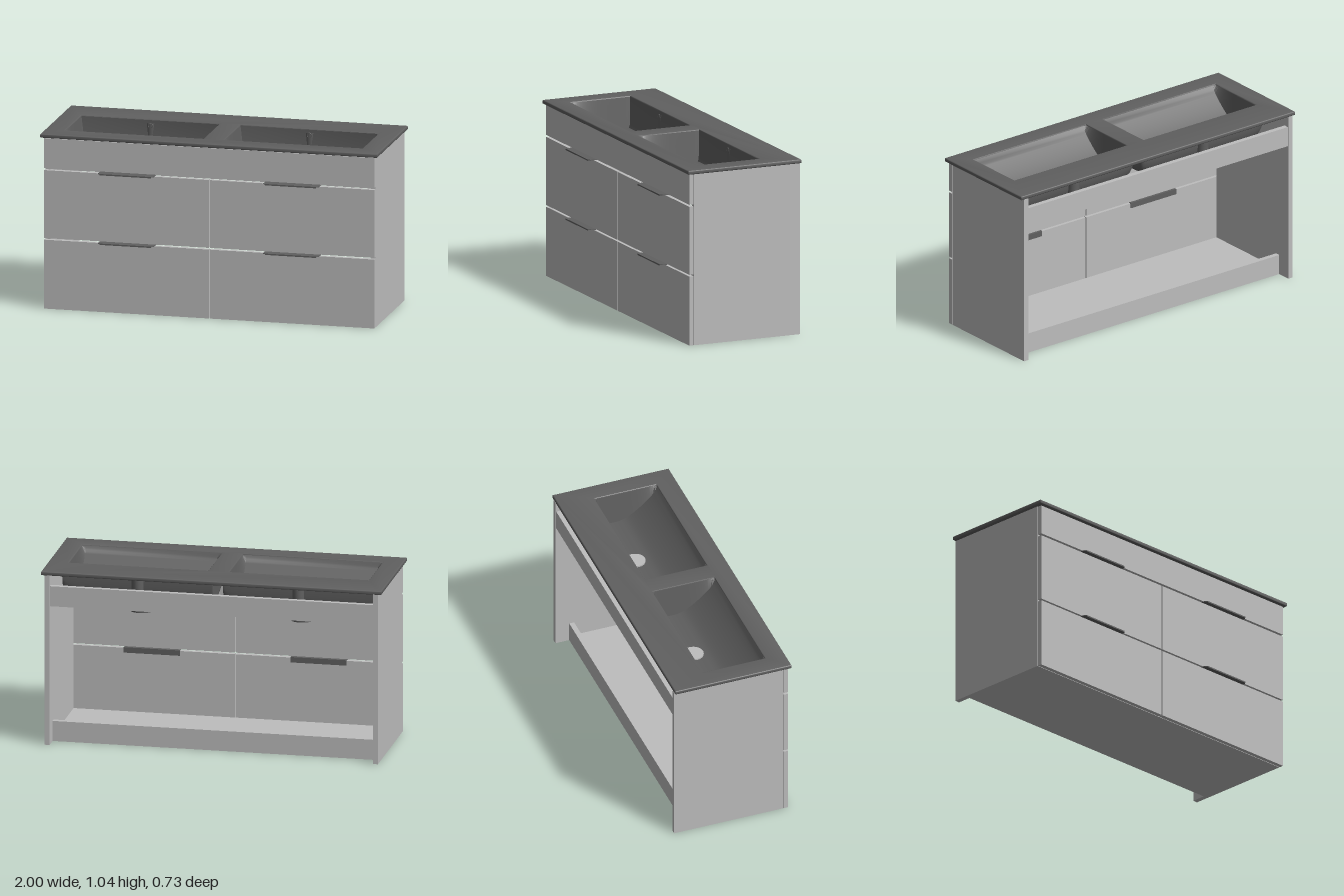
import * as THREE from 'three';
import { toCreasedNormals } from 'three/addons/utils/BufferGeometryUtils.js';

const cabinetMat = new THREE.MeshStandardMaterial({ name: 'light grey', color: 0xbebebe });
const basinMat = new THREE.MeshStandardMaterial({ name: 'dark grey', color: 0x606060 });
const holeMat = new THREE.MeshStandardMaterial({ name: 'charcoal', color: 0x303030 });

const BASIN_X = 0.472;

function add(parent, name, geometry, material, x = 0, y = 0, z = 0) {
  const mesh = new THREE.Mesh(geometry, material);
  mesh.name = name;
  mesh.position.set(x, y, z);
  parent.add(mesh);
  return mesh;
}

// Box given by its limits on each axis
function box(parent, name, material, [x0, x1], [y0, y1], [z0, z1]) {
  return add(parent, name, new THREE.BoxGeometry(x1 - x0, y1 - y0, z1 - z0), material,
    (x0 + x1) / 2, (y0 + y1) / 2, (z0 + z1) / 2);
}

// Trough swept along x: stations are [x, depth factor], profile is [z, y] from front to back
function trough(stations, profile, top, inside) {
  const pos = [], index = [], n = profile.length;
  for (const [x, f] of stations)
    for (const [z, y] of profile) pos.push(x, top - (top - y) * f, z);
  for (let i = 0; i < stations.length - 1; i++)
    for (let j = 0; j < n - 1; j++) {
      const a = i * n + j, b = a + n, c = a + 1, d = b + 1;
      if (inside) index.push(a, b, c, b, d, c);
      else index.push(a, c, b, b, c, d);
    }
  const g = new THREE.BufferGeometry();
  g.setAttribute('position', new THREE.Float32BufferAttribute(pos, 3));
  g.setIndex(index);
  g.computeVertexNormals();
  return g;
}

function smoothProfile(points, count) {
  const curve = new THREE.CatmullRomCurve3(points.map(([z, y]) => new THREE.Vector3(z, y, 0)));
  return curve.getPoints(count).map(p => [p.x, p.y]);
}

function rectangle(path, x0, x1, y0, y1) {
  path.moveTo(x0, y0);
  path.lineTo(x1, y0);
  path.lineTo(x1, y1);
  path.lineTo(x0, y1);
  path.closePath();
  return path;
}

// Slab with softened edges and two basin openings
function counterGeometry() {
  const b = 0.006;
  const shape = rectangle(new THREE.Shape(), -1 + b, 1 - b, -0.35 + b, 0.365 - b);
  for (const s of [-1, 1]) {
    const c = s * BASIN_X, h = 0.41 + b;
    shape.holes.push(rectangle(new THREE.Path(), c - h, c + h, -0.23 - b, 0.15 + b));
  }
  const g = new THREE.ExtrudeGeometry(shape, {
    depth: 0.012, bevelEnabled: true, bevelSize: b, bevelThickness: b, bevelSegments: 3
  });
  g.rotateX(-Math.PI / 2);
  g.translate(0, 1.013 + b, 0);
  return toCreasedNormals(g, 0.6);
}

function makeBasin(x) {
  const basin = new THREE.Group();
  basin.name = 'basin';
  basin.position.x = x;

  // Scooped bowl: gentle slope in front, steep wall at the back
  const slope = smoothProfile([[0.23, 1.031], [0.2, 0.99], [0.12, 0.917], [0.04, 0.865], [-0.01, 0.85]], 16);
  const inner = [...slope, [-0.12, 0.85], [-0.132, 0.855], [-0.138, 0.87], [-0.15, 1.031]];
  const ends = [[-0.41, 0], [-0.388, 1], [0.388, 1], [0.41, 0]];
  add(basin, 'bowl', toCreasedNormals(trough(ends, inner, 1.031, true), 0.5), basinMat);

  // Rounded underside
  const outer = smoothProfile([[0.262, 1.014], [0.235, 0.965], [0.15, 0.88], [0.05, 0.822],
    [-0.06, 0.802], [-0.14, 0.818], [-0.172, 0.88], [-0.18, 1.014]], 32);
  const stations = [];
  for (let i = -16; i <= 16; i++) {
    const s = Math.sin(i / 16 * Math.PI / 2);
    stations.push([s * 0.445, Math.pow(Math.max(0, 1 - Math.pow(s, 8)), 1 / 8)]);
  }
  add(basin, 'bowlUnderside', trough(stations, outer, 1.014, false), basinMat);

  // Drain cover, outlet collar and overflow
  add(basin, 'drainCover', new THREE.CylinderGeometry(0.06, 0.06, 0.008, 32), cabinetMat, 0, 0.854, -0.055);
  const ring = [[0.035, 0.815], [0.035, 0.75], [0.07, 0.75], [0.07, 0.79], [0.05, 0.795], [0.05, 0.815]];
  const collar = new THREE.LatheGeometry(ring.map(p => new THREE.Vector2(...p)), 32);
  add(basin, 'outletCollar', toCreasedNormals(collar, 0.6), basinMat, 0, 0, -0.055);
  const channel = new THREE.CatmullRomCurve3([[1.013, -0.175], [0.9, -0.175], [0.82, -0.165], [0.79, -0.09]]
    .map(([y, z]) => new THREE.Vector3(0, y, z)));
  add(basin, 'overflowChannel', new THREE.TubeGeometry(channel, 16, 0.035, 16), basinMat);
  const hole = add(basin, 'overflowHole', new THREE.CylinderGeometry(0.012, 0.012, 0.006, 20), holeMat, 0, 1.0, -0.146);
  hole.rotation.x = Math.PI / 2;
  add(basin, 'overflowRim', new THREE.TorusGeometry(0.013, 0.003, 8, 24), basinMat, 0, 1.0, -0.144);
  return basin;
}

// Edge pull: tapered plate over the drawer with a fixing lip behind
function makeHandle(x, y) {
  const handle = new THREE.Group();
  handle.name = 'handle';
  handle.position.set(x, y, 0);
  const plate = new THREE.Shape();
  plate.moveTo(-0.165, -0.303);
  plate.lineTo(-0.165, -0.355);
  plate.lineTo(-0.152, -0.369);
  plate.lineTo(0.152, -0.369);
  plate.lineTo(0.165, -0.355);
  plate.lineTo(0.165, -0.303);
  const g = new THREE.ExtrudeGeometry(plate, { depth: 0.004, bevelEnabled: false });
  g.rotateX(-Math.PI / 2);
  add(handle, 'pullPlate', g, basinMat);
  box(handle, 'frontLip', basinMat, [-0.152, 0.152], [-0.004, 0.002], [0.366, 0.369]);
  box(handle, 'rearLip', basinMat, [-0.165, 0.165], [-0.028, 0.002], [0.303, 0.308]);
  return handle;
}

export function createModel() {
  const model = new THREE.Group();
  model.name = 'doubleVanity';

  add(model, 'countertop', counterGeometry(), basinMat);

  // Open-backed carcass
  const inside = [-0.95, 0.95];
  box(model, 'bottomPanel', cabinetMat, inside, [0, 0.03], [-0.25, 0.306]);
  box(model, 'lowerBackRail', cabinetMat, inside, [0, 0.12], [-0.28, -0.25]);
  box(model, 'upperBackRail', cabinetMat, inside, [0.83, 0.95], [-0.36, -0.33]);
  box(model, 'frontRail', cabinetMat, inside, [0.82, 0.93], [0.275, 0.303]);
  box(model, 'topFront', cabinetMat, [-0.98, 0.98], [0.832, 1.009], [0.31, 0.336]);

  for (const s of [-1, 1]) {
    const mid = s * 0.965;
    box(model, 'sidePanel', cabinetMat, [mid - 0.015, mid + 0.015], [0, 1.013], [-0.365, 0.306]);
    // Drawer fronts and their pulls
    const c = s * 0.4915, w = 0.4885;
    for (const [y0, y1] of [[0, 0.408], [0.418, 0.82]]) {
      box(model, 'drawerFront', cabinetMat, [c - w, c + w], [y0, y1], [0.31, 0.336]);
      model.add(makeHandle(s * 0.49, y1 + 0.001));
    }
    model.add(makeBasin(s * BASIN_X));
  }
  return model;
}
